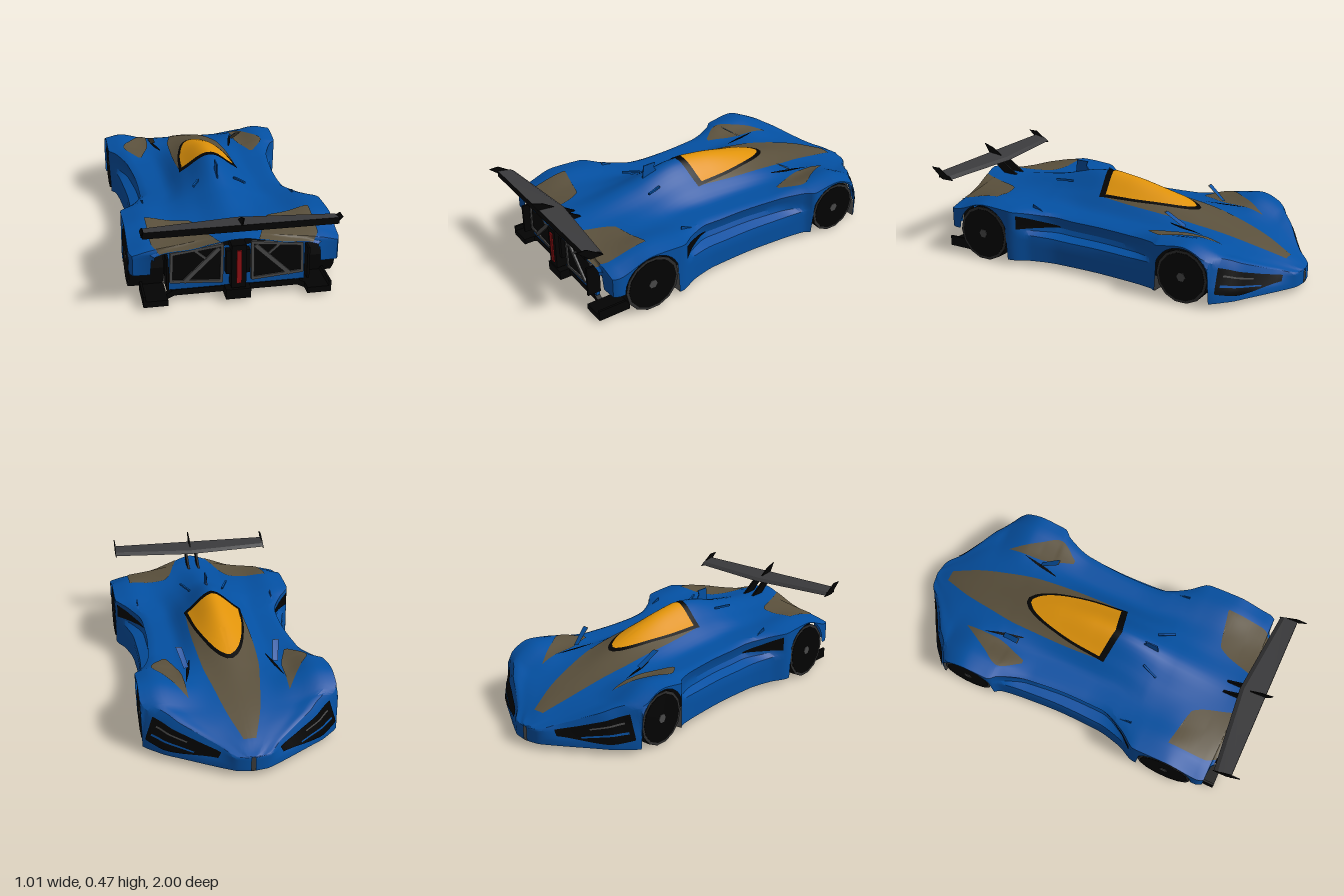
import * as THREE from 'three';
import { toCreasedNormals } from 'three/addons/utils/BufferGeometryUtils.js';

const paint = (name, color) => new THREE.MeshStandardMaterial({ name, color, side: THREE.DoubleSide });

// smooth curve through [t, value] points, without overshoot
const curve = (p) => {
  const d = p.slice(1).map((q, i) => (q[1] - p[i][1]) / (q[0] - p[i][0]));
  const m = p.map((_, i) => {
    if (i === 0) return d[0];
    if (i === p.length - 1) return d[i - 1];
    return d[i - 1] * d[i] <= 0 ? 0 : (2 * d[i - 1] * d[i]) / (d[i - 1] + d[i]);
  });
  return (t) => {
    t = Math.min(Math.max(t, p[0][0]), p[p.length - 1][0]);
    let i = 0;
    while (i < p.length - 2 && t > p[i + 1][0]) i++;
    const h = p[i + 1][0] - p[i][0], s = (t - p[i][0]) / h, r = 1 - s;
    return (1 + 2 * s) * r * r * p[i][1] + s * r * r * h * m[i]
      + s * s * (3 - 2 * s) * p[i + 1][1] - s * s * r * h * m[i + 1];
  };
};

// body lines along z: outline half width, then heights from the centre outwards
const halfWidth = curve([[-1, 0.01], [-0.99, 0.07], [-0.975, 0.1], [-0.93, 0.175], [-0.84, 0.315], [-0.785, 0.4], [-0.77, 0.415],
  [-0.705, 0.48], [-0.69, 0.487], [-0.42, 0.485], [-0.37, 0.455], [-0.2, 0.435], [0, 0.425], [0.2, 0.43], [0.35, 0.46],
  [0.46, 0.505], [0.8, 0.505], [0.84, 0.49], [0.86, 0.41], [0.93, 0.39]]);
const centreY = curve([[-1, 0.11], [-0.97, 0.122], [-0.9, 0.158], [-0.75, 0.215], [-0.55, 0.275], [-0.4, 0.32], [-0.2, 0.382],
  [0, 0.428], [0.16, 0.445], [0.46, 0.38], [0.78, 0.337], [0.93, 0.348]]);
const cabinY = curve([[-1, 0.11], [-0.9, 0.152], [-0.75, 0.21], [-0.55, 0.265], [-0.4, 0.293], [-0.2, 0.325],
  [0, 0.348], [0.13, 0.356], [0.46, 0.33], [0.78, 0.315], [0.93, 0.318]]);
const valleyY = curve([[-1, 0.105], [-0.9, 0.147], [-0.75, 0.215], [-0.55, 0.28], [-0.4, 0.277], [-0.2, 0.272],
  [0.1, 0.28], [0.46, 0.306], [0.6, 0.314], [0.93, 0.288]]);
const fenderY = curve([[-1, 0.105], [-0.9, 0.147], [-0.75, 0.235], [-0.55, 0.313], [-0.4, 0.3], [-0.2, 0.272],
  [0.1, 0.275], [0.3, 0.295], [0.46, 0.32], [0.6, 0.331], [0.8, 0.292], [0.86, 0.275], [0.93, 0.27]]);
const edgeY = curve([[-1, 0.1], [-0.9, 0.13], [-0.75, 0.205], [-0.55, 0.3], [-0.4, 0.28], [-0.2, 0.264],
  [0.1, 0.264], [0.3, 0.28], [0.46, 0.305], [0.62, 0.313], [0.8, 0.262], [0.93, 0.25]]);
const groove = curve([[-0.4, 0], [-0.22, 0.055], [0.2, 0.07], [0.43, 0]]);
const noseTuck = curve([[-0.98, 0], [-0.9, 0.045], [-0.75, 0.05], [-0.66, 0]]);

const WHEELS = [
  { name: 'front', z: -0.55, y: 0.142, r: 0.138, arch: 0.149, x0: 0.33, x1: 0.475 },
  { name: 'rear', z: 0.626, y: 0.152, r: 0.15, arch: 0.156, x0: 0.337, x1: 0.5 },
];

// lower edge of the flanks with the wheel arches
const lowerY = (z) => {
  for (const w of WHEELS) {
    const dz = z - w.z;
    if (Math.abs(dz) <= w.arch) return Math.min(edgeY(z) - 0.004, w.y + Math.sqrt(w.arch ** 2 - dz * dz));
  }
  if (z > 0.862) return edgeY(z) - 0.02;
  return z > 0.7 ? 0.155 : 0.035;
};
// the shoulders tuck in above the side pods, the nose face leans back
const inset = curve([[0, 0.75], [0.25, 1], [0.36, 0.85], [0.44, 0.08], [0.55, 0], [1, 0]]);
const flank = (z, t) => [halfWidth(z) - groove(z) * inset(t) - noseTuck(z) * Math.max(0, 1 - t / 0.7),
  edgeY(z) + (lowerY(z) - edgeY(z)) * t, z];
const section = (z) => {
  const w = flank(z, 0)[0], s = Math.min(1, halfWidth(z) / 0.47);
  return curve([[-0.15 * s, cabinY(z)], [0, centreY(z)], [0.15 * s, cabinY(z)], [0.27 * s, valleyY(z)],
    [Math.min(0.4 * s, w - 0.03 * s), fenderY(z)], [w, edgeY(z)]]);
};
const topY = (x, z) => section(z)(Math.abs(x));
// the tail edge sweeps forward towards the fenders
const sweep = ([x, y, z]) => [x, y, z > 0.84 ? 0.84 + (z - 0.84) * Math.max(0.2, 1 - Math.abs(x) / 0.45) : z];

// surface from rows of points
const grid = (rows, crease = 0.5) => {
  const n = rows[0].length, index = [];
  for (let i = 0; i < rows.length - 1; i++) for (let j = 0; j < n - 1; j++) {
    const a = i * n + j, b = a + n;
    index.push(a, b, a + 1, b, b + 1, a + 1);
  }
  const g = new THREE.BufferGeometry();
  g.setAttribute('position', new THREE.Float32BufferAttribute(rows.flat(2), 3));
  g.setIndex(index);
  return toCreasedNormals(g, crease);
};
const steps = (n, f) => Array.from({ length: n + 1 }, (_, i) => f(i / n));

// thin paint patch lying on the top surface, between two x curves
const drape = (z0, z1, left, right, lift, vee = 0) => grid(steps(40, (v) => steps(20, (u) => {
  const zz = z0 + (z1 - z0) * v, x = left(zz) + (right(zz) - left(zz)) * u;
  const z = zz - vee * v * Math.abs(2 * u - 1);
  return sweep([x, topY(x, z) + lift, z]);
})));
// thin patch lying on a flank
const flankPatch = (side, z0, z1, t0, t1, lift = 0.005) => grid(steps(12, (v) => steps(6, (u) => {
  const z = z0 + (z1 - z0) * v, p = flank(z, t0(z) + (t1(z) - t0(z)) * u);
  const slope = (halfWidth(z + 0.01) - halfWidth(z - 0.01)) / 0.02, k = lift / Math.hypot(1, slope);
  return [side * (p[0] + k), p[1], z - slope * k];
})));

export function createModel() {
  const car = new THREE.Group();
  const blue = paint('body blue', 0x0450a2), brown = paint('trim brown', 0x5a503c), orange = paint('canopy orange', 0xe0930a);
  const black = paint('black', 0x030303), floorGrey = paint('floor grey', 0x2e2e2e), charcoal = paint('wing charcoal', 0x3a3a3c);
  const grey = paint('frame grey', 0x4a4a4a), red = paint('light red', 0x941014);
  const add = (name, geo, mat) => {
    const m = new THREE.Mesh(geo, mat);
    m.name = name;
    car.add(m);
    return m;
  };
  const box = (name, mat, w, h, d, x, y, z) => add(name, new THREE.BoxGeometry(w, h, d).translate(x, y, z), mat);
  const bar = (name, mat, a, b, w) => {
    const p = new THREE.Vector3(...a), q = new THREE.Vector3(...b);
    const m = add(name, new THREE.BoxGeometry(w, w, p.distanceTo(q) + w * 0.6), mat);
    m.position.copy(p).add(q).multiplyScalar(0.5);
    m.lookAt(q);
  };
  // plate given by z,y corners, centred on x
  const sidePlate = (name, mat, pts, x, t) => {
    const s = new THREE.Shape(pts.map(([z, y]) => new THREE.Vector2(-z, y)));
    const g = new THREE.ExtrudeGeometry(s, { depth: t, bevelEnabled: false });
    return add(name, g.translate(0, 0, -t / 2).rotateY(Math.PI / 2).translate(x, 0, 0), mat);
  };

  // body shell
  const stations = steps(112, (v) => -1 + 1.93 * v).concat([-0.99, -0.975, 0.84, 0.86]);
  for (const w of WHEELS) for (const s of [-1, 1]) stations.push(w.z + s * w.arch, w.z + s * (w.arch + 0.001));
  stations.sort((a, b) => a - b);
  const ts = [0, 0.14, 0.25, 0.36, 0.44, 0.55, 0.7, 1];
  add('bodyShell', grid(stations.map((z) => {
    const side = ts.map((t) => flank(z, t)), w = side[0][0], f = section(z);
    const top = steps(36, (u) => [(2 * u - 1) * w, f(Math.abs(2 * u - 1) * w), z]).slice(1, -1);
    return [...side.map(([x, y]) => [-x, y, z]).reverse(), ...top, ...side].map(sweep);
  })), blue);

  // floor and inner tub
  const floorW = (z) => (WHEELS.some((w) => Math.abs(z - w.z) < w.arch) || z > 0.7 ? 0.33 : halfWidth(z) - 0.003);
  add('floor', grid(stations.filter((z) => z < 0.74).map((z) => [[floorW(z), 0.035, z], [-floorW(z), 0.035, z]])), floorGrey);
  box('innerTub', black, 0.64, 0.16, 1.34, 0, 0.125, 0.05);

  // nose stripe and canopy
  const mirrored = (f) => [(z) => -f(z), f];
  add('noseStripe', drape(-0.91, 0.1, ...mirrored(curve([[-0.91, 0.03], [-0.75, 0.083], [-0.6, 0.114], [-0.4, 0.146],
    [-0.1, 0.157], [0.1, 0.152]])), 0.003), brown);
  add('canopyFrame', drape(-0.41, 0.148, ...mirrored(curve([[-0.41, 0.015], [-0.38, 0.045], [-0.3, 0.083], [-0.2, 0.11],
    [-0.05, 0.138], [0.148, 0.157]])), 0.005, 0.035), black);
  add('canopyGlass', drape(-0.385, 0.112, ...mirrored(curve([[-0.385, 0.01], [-0.36, 0.036], [-0.3, 0.068], [-0.2, 0.098],
    [-0.05, 0.126], [0.112, 0.141]])), 0.008, 0.03), orange);
  sidePlate('roofFin', blue, [[0.26, 0.405], [0.29, 0.45], [0.28, 0.475], [0.35, 0.475], [0.36, 0.39]], 0, 0.006);

  for (const s of [-1, 1]) {
    // fender panels
    const at = (pts) => { const f = curve(pts); return (z) => s * f(z); };
    add('frontFenderPanel', drape(-0.655, -0.285, at([[-0.655, 0.25], [-0.48, 0.254], [-0.285, 0.31]]),
      at([[-0.655, 0.252], [-0.5, 0.345], [-0.4, 0.4], [-0.285, 0.33]]), 0.004), brown);
    add('rearFenderPanel', drape(0.6, 0.928, at([[0.6, 0.39], [0.645, 0.19], [0.81, 0.125], [0.928, 0.09]]),
      at([[0.6, 0.405], [0.8, 0.4], [0.86, 0.375], [0.928, 0.365]]), 0.004), brown);

    // headlights with slats, side intake
    add('headlight', flankPatch(s, -0.935, -0.72, () => 0.06, curve([[-0.935, 0.4], [-0.8, 0.8], [-0.72, 0.72]])), black);
    add('headlightSlat', flankPatch(s, -0.87, -0.735, () => 0.48, () => 0.54, 0.008), blue);
    add('headlightLamp', flankPatch(s, -0.84, -0.74, () => 0.22, () => 0.27, 0.008), grey);
    add('sideIntake', flankPatch(s, 0.22, 0.42, curve([[0.22, 0.2], [0.42, 0.06]]), curve([[0.22, 0.23], [0.42, 0.34]])), black);

    // mirror blade with brown back, hood slot and deck fins
    const blade = (dz) => grid([[[s * 0.215, 0.305, -0.44 + dz], [s * 0.24, 0.3, -0.44 + dz]],
      [[s * 0.235, 0.37, -0.345 + dz], [s * 0.266, 0.372, -0.345 + dz]]]);
    add('mirror', blade(0), blue);
    add('mirrorBack', blade(0.006), brown);
    add('hoodSlot', drape(-0.55, -0.34, at([[-0.55, 0.245], [-0.45, 0.215], [-0.34, 0.195]]),
      at([[-0.55, 0.247], [-0.42, 0.225], [-0.34, 0.2]]), 0.007), black);
    bar('deckWinglet', blue, [s * 0.095, 0.385, 0.32], [s * 0.13, 0.39, 0.4], 0.01);
    sidePlate('shoulderFin', blue, [[0.26, 0.27], [0.38, 0.325], [0.38, 0.28]], s * 0.385, 0.006);

    // wheels: black tyre and disc with a grey rim ring
    for (const w of WHEELS) {
      const cyl = (name, mat, r, len, x, n) => {
        const g = new THREE.CylinderGeometry(r, r, len, n).toNonIndexed();
        g.computeVertexNormals();
        add(name, g.rotateZ(Math.PI / 2).translate(x, w.y, w.z), mat);
      };
      cyl(w.name + 'Tyre', black, w.r, w.x1 - w.x0, s * (w.x0 + w.x1) / 2, 14);
      cyl(w.name + 'RimRing', floorGrey, w.r - 0.001, 0.004, s * w.x1, 14);
      cyl(w.name + 'Disc', black, w.r * 0.9, 0.008, s * w.x1, 14);
      cyl(w.name + 'Hub', grey, 0.024, 0.014, s * w.x1, 6);
    }

    // rear grille and its frame
    const z = 0.855, P = [[0.072, 0.288], [0.31, 0.26], [0.315, 0.118], [0.075, 0.1]].map(([x, y]) => [s * x, y, z]);
    add('grille', grid([[P[0], P[1]], [P[3], P[2]]]), black);
    P.forEach((p, i) => bar('grilleFrame', grey, p, P[(i + 1) % 4], 0.014));
    bar('grilleBrace', grey, [s * 0.09, 0.27, z], [s * 0.25, 0.115, z], 0.02);
    bar('grilleBrace', grey, [s * 0.14, 0.215, z], [s * 0.2, 0.268, z], 0.012);
    box('grilleSide', black, 0.012, 0.16, 0.07, s * 0.335, 0.175, 0.86);

    // wing endplates and pylons
    sidePlate('wingEndplate', black, [[0.86, 0.395], [0.93, 0.395], [1, 0.455], [0.95, 0.455]], s * 0.455, 0.005);
    sidePlate('wingPylon', black, [[0.73, 0.325], [0.83, 0.335], [0.92, 0.405], [0.85, 0.405]], s * 0.03, 0.012);

    // diffuser arm and tip winglet
    bar('diffuserArm', black, [s * 0.06, 0.05, 0.83], [s * 0.3, 0.05, 0.83], 0.03);
    bar('diffuserArm', black, [s * 0.29, 0.052, 0.83], [s * 0.345, 0.025, 0.83], 0.026);
    box('diffuserTip', black, 0.115, 0.03, 0.17, s * 0.392, 0.03, 0.815);
    box('tipFlap', black, 0.012, 0.055, 0.17, s * 0.445, 0.043, 0.815);
  }

  // tail panel with centre light
  box('tailPanel', blue, 0.66, 0.2, 0.02, 0, 0.168, 0.835);
  box('tailPod', black, 0.115, 0.12, 0.06, 0, 0.205, 0.85);
  box('tailSpine', black, 0.07, 0.22, 0.08, 0, 0.19, 0.86);
  box('tailLight', red, 0.024, 0.17, 0.008, 0, 0.19, 0.902);
  box('diffuserCentre', black, 0.12, 0.05, 0.16, 0, 0.045, 0.82);

  // rear wing: swept charcoal top, black underside and trailing edge, centre fin
  const wing = (f) => grid(steps(2, (u) => f((2 * u - 1) * 0.455, 0.82 + 0.045 * Math.abs(2 * u - 1))), 0.3);
  add('wingTop', wing((x, z) => [[x, 0.402, z], [x, 0.418, z + 0.02], [x, 0.431, 0.955]]), charcoal);
  add('wingUnderside', wing((x, z) => [[x, 0.431, 0.955], [x, 0.4, 0.957], [x, 0.402, z]]), black);
  sidePlate('wingFin', black, [[0.84, 0.4], [0.9, 0.41], [0.96, 0.43], [0.99, 0.48], [0.93, 0.46]], 0, 0.006);
  return car;
}
